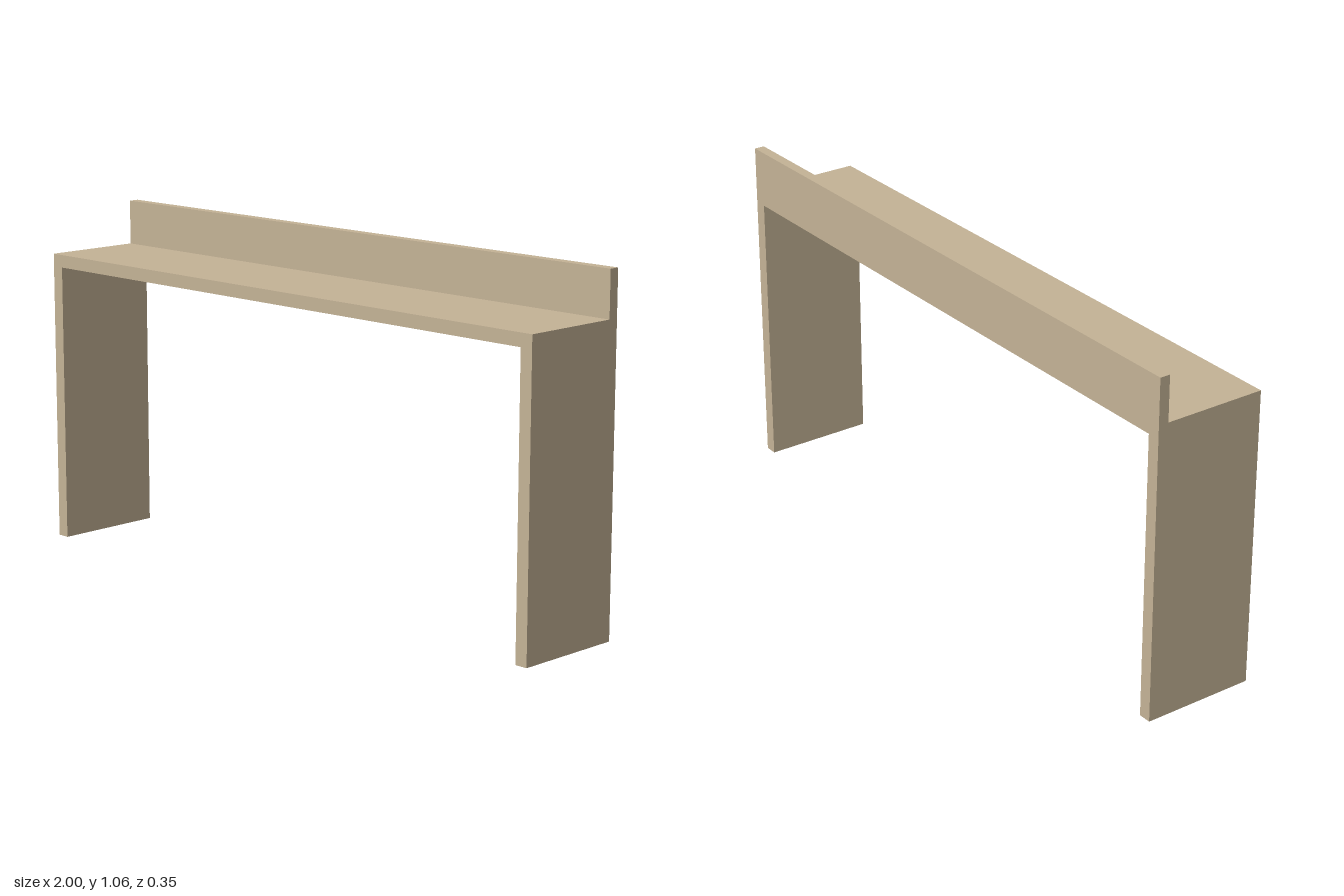
import * as THREE from 'three';

const HALF_WIDTH = 1, HALF_DEPTH = 0.176;
const TOP = 0.92, BOARD = 0.04;
const RAIL_HEIGHT = 0.14, RAIL_DEPTH = 0.032;

export function createModel() {
  const wood = new THREE.MeshStandardMaterial({ color: 0xc4b396 });
  wood.name = 'light wood';
  const group = new THREE.Group();
  group.name = 'consoleTable';

  // Table top and side panels: one continuous arch, extruded front to back
  const w = HALF_WIDTH, i = HALF_WIDTH - BOARD, u = TOP - BOARD;
  const outline = [[-w, 0], [-i, 0], [-i, u], [i, u], [i, 0], [w, 0], [w, TOP], [-w, TOP]];
  const shape = new THREE.Shape(outline.map(([x, y]) => new THREE.Vector2(x, y)));
  const archGeometry = new THREE.ExtrudeGeometry(shape, { depth: 2 * HALF_DEPTH, bevelEnabled: false });
  archGeometry.translate(0, 0, -HALF_DEPTH);
  const arch = new THREE.Mesh(archGeometry, wood);
  arch.name = 'topAndSidePanels';
  group.add(arch);

  // Upright rail along the back edge
  const rail = new THREE.Mesh(new THREE.BoxGeometry(2 * HALF_WIDTH, RAIL_HEIGHT, RAIL_DEPTH), wood);
  rail.name = 'backRail';
  rail.position.set(0, TOP + RAIL_HEIGHT / 2, -HALF_DEPTH + RAIL_DEPTH / 2);
  group.add(rail);

  return group;
}
